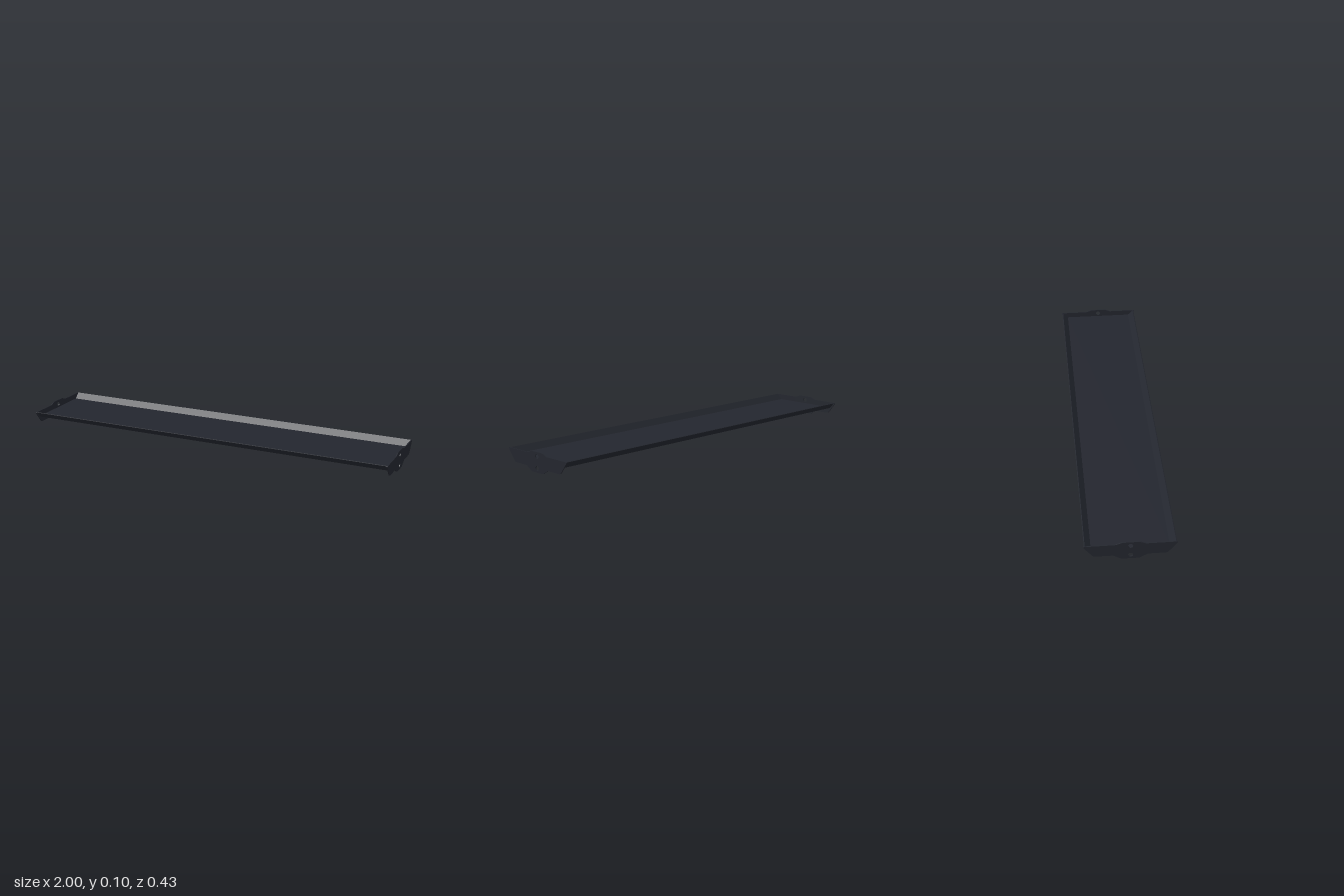
import * as THREE from 'three';

const material = new THREE.MeshStandardMaterial({ color: 0x23262e });

// Closed outline from corners [z, y, radius], each corner rounded by its radius
function roundedOutline(corners) {
  const shape = new THREE.Shape();
  const n = corners.length;
  const at = i => new THREE.Vector2(corners[(i + n) % n][0], corners[(i + n) % n][1]);
  for (let i = 0; i < n; i++) {
    const p = at(i), r = corners[i][2];
    const a = p.clone().add(at(i - 1).sub(p).setLength(r));
    const b = p.clone().add(at(i + 1).sub(p).setLength(r));
    if (i === 0) shape.moveTo(a.x, a.y); else shape.lineTo(a.x, a.y);
    shape.quadraticCurveTo(p.x, p.y, b.x, b.y);
  }
  shape.closePath();
  return shape;
}

// Extrude a (z, y) outline along x, centred on the given x
function extrudeAlongX(name, shape, length, x) {
  const geometry = new THREE.ExtrudeGeometry(shape, { depth: length, bevelEnabled: false, curveSegments: 8 });
  geometry.translate(0, 0, -length / 2);
  geometry.rotateY(-Math.PI / 2);
  const mesh = new THREE.Mesh(geometry, material);
  mesh.name = name;
  mesh.position.x = x;
  return mesh;
}

// Mirror half of an outline (+z side, bottom to top) across z = 0
function mirrored(half) {
  return [...half, ...half.map(([z, y, r]) => [-z, y, r]).reverse()];
}

export function createModel() {
  const group = new THREE.Group();
  group.name = 'shelfTray';
  const plate = 0.005;

  // End plates with two mounting holes each
  const endOutline = mirrored([
    [0.042, 0, 0.008], [0.08, 0.023, 0.004], [0.171, 0.023, 0.009],
    [0.222, 0.088, 0.012], [0.07, 0.088, 0.004], [0.04, 0.1, 0.008],
  ]);
  for (const side of [-1, 1]) {
    const shape = roundedOutline(endOutline);
    for (const y of [0.022, 0.078]) {
      shape.holes.push(new THREE.Path().absarc(0, y, 0.012, 0, Math.PI * 2, true));
    }
    group.add(extrudeAlongX(side > 0 ? 'leftEndPlate' : 'rightEndPlate', shape, plate, side * (1 - plate / 2)));
  }

  // Folded sheet: flat bed with outward sloping lips front and back
  const underside = [[-0.214, 0.086], [-0.185, 0.055], [0.185, 0.055], [0.214, 0.086]];
  const topside = [[0.21, 0.088], [0.182, 0.059], [-0.182, 0.059], [-0.21, 0.088]];
  const section = new THREE.Shape([...underside, ...topside].map(([z, y]) => new THREE.Vector2(z, y)));
  group.add(extrudeAlongX('trayBed', section, 2 - 2 * plate, 0));

  return group;
}
